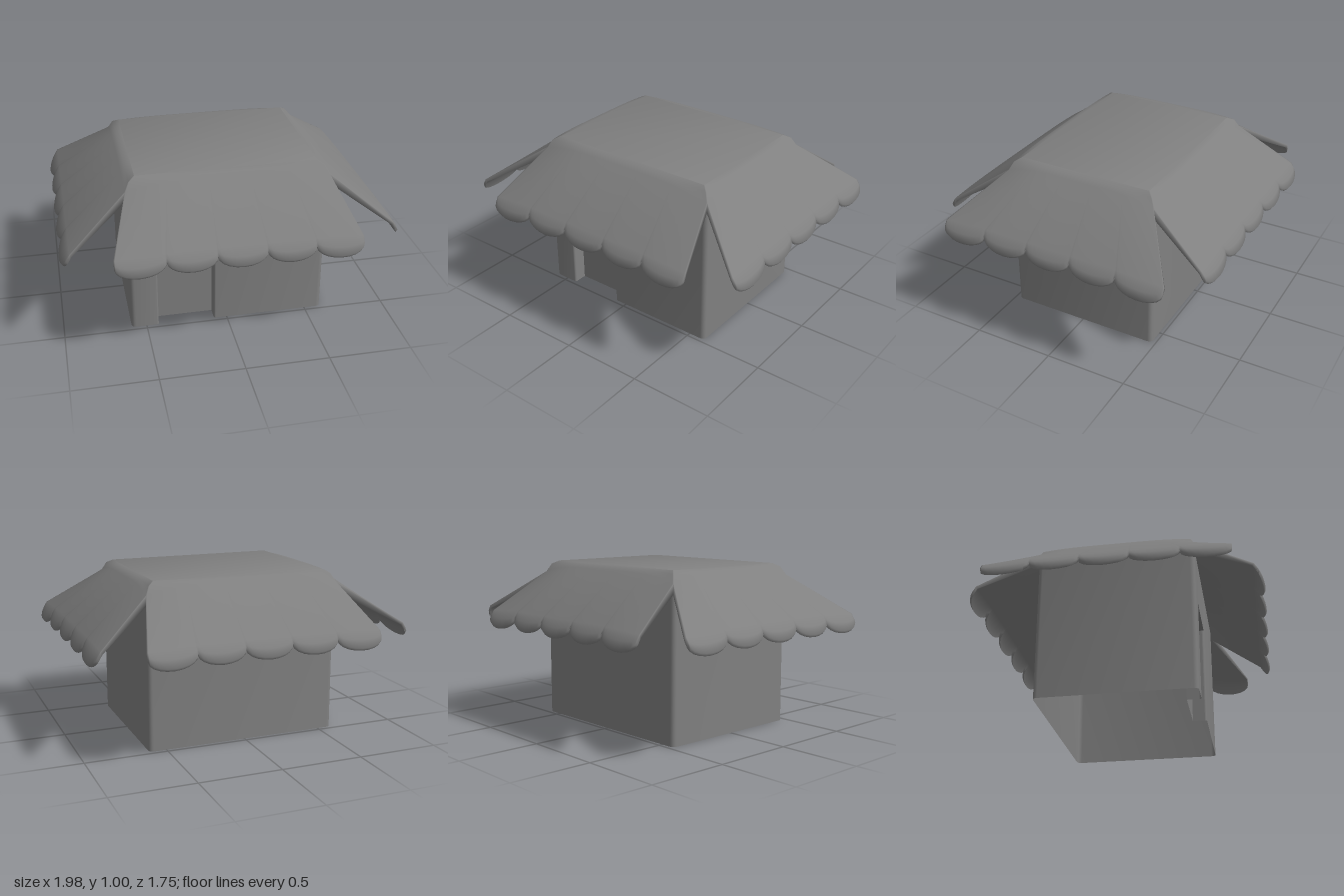
import * as THREE from 'three';
import { mergeGeometries, toCreasedNormals } from 'three/addons/utils/BufferGeometryUtils.js';

const material = new THREE.MeshStandardMaterial({ color: 0x808080, side: THREE.DoubleSide });

function fromTriangles(points) {
  const g = new THREE.BufferGeometry();
  g.setAttribute('position', new THREE.Float32BufferAttribute(points.flat(), 3));
  return g;
}

const quad = (out, a, b, c, d) => out.push(a, b, c, a, c, d);

// Smooth within the crease angle; scaled up so that close points stay apart
function smooth(geometry, angle) {
  geometry.scale(10, 10, 10);
  const g = toCreasedNormals(geometry, angle);
  g.scale(0.1, 0.1, 0.1);
  return g;
}

// Vertical wall following a floor outline of [x, z] points
function wallStrip(outline, y0, y1) {
  const tris = [];
  for (let i = 0; i < outline.length - 1; i++) {
    const [ax, az] = outline[i], [bx, bz] = outline[i + 1];
    quad(tris, [ax, y0, az], [bx, y0, bz], [bx, y1, bz], [ax, y1, az]);
  }
  return fromTriangles(tris);
}

// One awning flap: rows of [out, halfWidth, y, sag at the ends, extra thickness at the ends],
// ending in five scallops
function flap(rows, angle) {
  const scallops = 5, seg = 10, lipSteps = 2;
  const across = [];
  for (let i = 0; i < scallops; i++)
    for (let j = i ? 1 : 0; j <= seg; j++) {
      const f = -Math.cos((Math.PI * j) / seg);
      across.push({ u: (2 * i + 1 + f) / scallops - 1, s: Math.sin((Math.PI * j) / seg) });
    }
  const count = rows.length + lipSteps;
  const point = (k, { u, s }, inner) => {
    const [out, half, y, sag, thick] = rows[Math.min(k, rows.length - 1)];
    const end = u ** 4;
    const t = Math.max(0, k - rows.length + 1) / lipSteps;
    const drop = t * (0.035 + 0.06 * s);
    const bulge = 0.01 * s * Math.sin(Math.PI * t);
    const p = [u * half, y - sag * end - drop, out + 0.6 * drop + bulge];
    return inner ? [p[0], p[1] - 0.015 - thick * end, p[2] - (k > 2 ? 0.01 : 0)] : p;
  };
  // Section: down the outside, back up the inside
  const section = (a) => {
    const pts = [];
    for (let k = 0; k < count; k++) pts.push(point(k, a, false));
    for (let k = count - 1; k >= 0; k--) pts.push(point(k, a, true));
    return pts;
  };
  const loops = across.map(section), tris = [];
  const first = loops[0], last = loops[loops.length - 1], n = 2 * count - 1;
  for (let j = 0; j < loops.length - 1; j++)
    for (let k = 0; k < n; k++)
      quad(tris, loops[j][k], loops[j][k + 1], loops[j + 1][k + 1], loops[j + 1][k]);
  // Cut edges at both ends, below the joined corner
  for (let k = 2; k < count - 1; k++) {
    quad(tris, first[k], first[n - k], first[n - k - 1], first[k + 1]);
    quad(tris, last[k], last[k + 1], last[n - k - 1], last[n - k]);
  }
  return fromTriangles(tris).rotateY(angle);
}

function createRoof() {
  const frontRows = [[0.42, 0.54, 1, 0, 0], [0.455, 0.577, 0.994, 0.015, 0.01],
    [0.48, 0.602, 0.975, 0.045, 0.045], [0.82, 0.71, 0.71, 0.015, 0]];
  const sideRows = [[0.54, 0.42, 1, 0, 0], [0.577, 0.455, 0.994, 0.015, 0.01],
    [0.602, 0.48, 0.975, 0.045, 0.045], [0.935, 0.71, 0.71, 0.015, 0]];
  const parts = [0, 1, 2, 3].map((i) => flap(i % 2 ? sideRows : frontRows, (i * Math.PI) / 2));
  // Flat top, outside and inside
  for (const [y, turn] of [[1, -1], [0.985, 1]]) {
    const g = new THREE.PlaneGeometry(1.08, 0.84).rotateX((turn * Math.PI) / 2).translate(0, y, 0).toNonIndexed();
    g.deleteAttribute('uv');
    g.deleteAttribute('normal');
    parts.push(g);
  }
  const roof = mergeGeometries(parts);
  // Middle sits slightly to the left, over the walls
  const pos = roof.attributes.position;
  for (let i = 0; i < pos.count; i++) {
    const x = pos.getX(i);
    pos.setX(i, x + 0.012 * Math.max(0, 1 - x * x));
  }
  return smooth(roof, 2);
}

export function createModel() {
  const model = new THREE.Group();
  const add = (name, geometry) => {
    const mesh = new THREE.Mesh(geometry, material);
    mesh.name = name;
    model.add(mesh);
  };
  const left = 0.605, right = -0.592, front = 0.475, top = 0.91, r = 0.028, jamb = 0.012;
  const doorA = -0.425, doorB = -0.08, doorTop = 0.605, panelZ = front - 0.085;

  // Walls run round from one door jamb to the other, with rounded corners
  const outline = [];
  const arc = (cx, cz, radius, start) => {
    for (let j = 0; j <= 4; j++) {
      const a = ((start + j / 4) * Math.PI) / 2;
      outline.push([cx + radius * Math.sin(a), cz + radius * Math.cos(a)]);
    }
  };
  arc(doorB + jamb, front - jamb, jamb, -1);
  arc(left - r, front - r, r, 0);
  arc(left - r, r - front, r, 1);
  arc(right + r, r - front, r, 2);
  arc(right + r, front - r, r, 3);
  arc(doorA - jamb, front - jamb, jamb, 0);
  add('walls', smooth(wallStrip(outline, 0, top), 0.6));
  add('wallAboveDoor', smooth(wallStrip([[doorA - jamb, front], [doorB + jamb, front]], doorTop, top), 0.6));

  // Recessed doorway
  const recess = [[doorA, front - jamb], [doorA, panelZ], [doorB, panelZ], [doorB, front - jamb]];
  add('doorway', smooth(wallStrip(recess, 0, doorTop), 0.6));
  const lintel = [];
  quad(lintel, [doorA, doorTop, front], [doorA, doorTop, panelZ], [doorB, doorTop, panelZ], [doorB, doorTop, front]);
  add('doorLintel', smooth(fromTriangles(lintel), 0.6));

  add('scallopedRoof', createRoof());
  return model;
}
